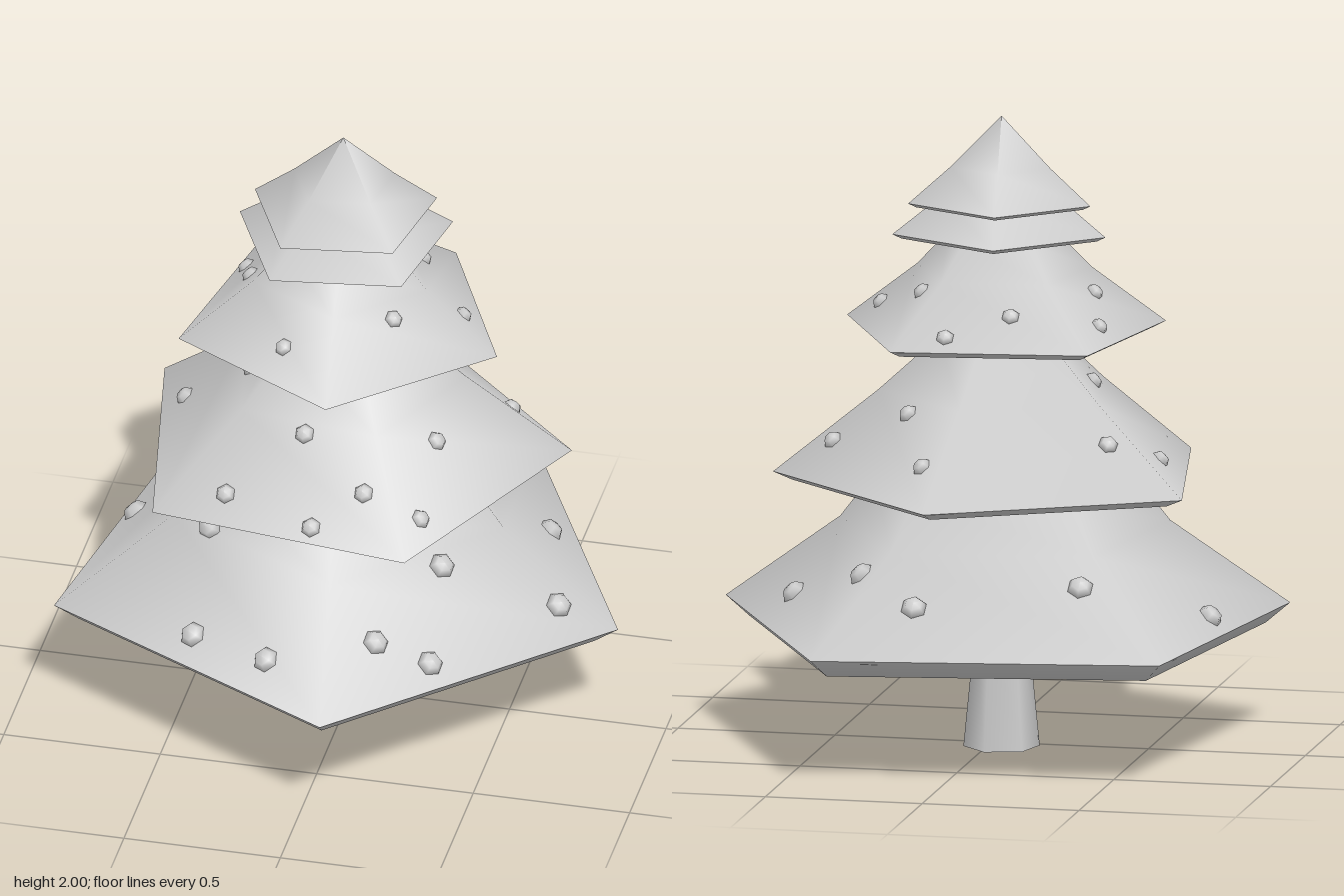
import * as THREE from 'three';

const SIDES = 5;
const CX = -0.043, CZ = -0.051; // tree axis

// Each tier: rim radius, angle of one corner (degrees, x towards z), underside height,
// and profile above the rim as [share of radius, height]
const TIERS = [
  { r: 0.926, turn: 9.5, base: 0.35, profile: [[1, 0.41], [0.585, 0.69], [0.458, 0.84], [0, 1.22]] },
  { r: 0.712, turn: -10.5, base: 0.84, profile: [[1, 0.866], [0.537, 1.13], [0.273, 1.3], [0, 1.48]] },
  { r: 0.524, turn: 11, base: 1.307, profile: [[1, 1.327], [0.545, 1.51], [0.345, 1.62], [0, 1.78]] },
  { r: 0.35, turn: -26, base: 1.625, profile: [[1, 1.64], [0.55, 1.755], [0, 1.91]] },
  { r: 0.299, turn: -26, base: 1.722, profile: [[1, 1.735], [0.55, 1.845], [0, 2]] },
];

// Ornaments per tier: size and [x, z] spots
const ORNAMENTS = [
  { size: 0.042, spots: [[-0.39, 0.53], [-0.13, 0.645], [0.365, 0.51], [0.69, 0.14], [0.2, 0.55],
    [0.34, 0.24], [-0.4, 0.25], [0.57, -0.27], [0.3, -0.52], [0.1, -0.67], [-0.4, -0.53], [-0.73, -0.15]] },
  { size: 0.032, spots: [[-0.31, 0.42], [-0.02, 0.495], [0.13, 0.415], [0.31, 0.405], [0.3, 0.14],
    [-0.09, 0.28], [-0.32, 0.02], [-0.56, -0.1], [-0.44, -0.31], [0.1, -0.555], [0.46, -0.21], [0.2, -0.3]] },
  { size: 0.029, spots: [[-0.16, 0.27], [0.16, 0.13], [0.34, -0.06], [0.17, -0.24], [0.05, -0.445],
    [-0.14, -0.36], [-0.39, -0.21], [-0.34, -0.05]] },
];

function lathe(points, sides, turn, material, name) {
  const pts = points.map(([x, y]) => new THREE.Vector2(x, y));
  const geometry = new THREE.LatheGeometry(pts, sides, THREE.MathUtils.degToRad(90 - turn));
  const mesh = new THREE.Mesh(geometry, material);
  mesh.name = name;
  return mesh;
}

// Point and outward normal on a tier's pentagonal surface above local x, z
function surfaceAt(tier, x, z) {
  const apothem = tier.r * Math.cos(Math.PI / SIDES);
  let share = -1, angle = 0;
  for (let i = 0; i < SIDES; i++) {
    const a = THREE.MathUtils.degToRad(tier.turn) + (i + 0.5) * 2 * Math.PI / SIDES;
    const s = (x * Math.cos(a) + z * Math.sin(a)) / apothem;
    if (s > share) { share = s; angle = a; }
  }
  share = Math.min(share, 0.97);
  const p = tier.profile;
  let k = 0;
  while (k < p.length - 2 && share < p[k + 1][0]) k++;
  const run = p[k][0] - p[k + 1][0], rise = p[k + 1][1] - p[k][1];
  const y = p[k][1] + rise * (p[k][0] - share) / run;
  const normal = new THREE.Vector3(Math.cos(angle) * rise, run * apothem, Math.sin(angle) * rise);
  return { point: new THREE.Vector3(x, y, z), normal: normal.normalize() };
}

export function createModel() {
  const model = new THREE.Group();
  model.name = 'pineTree';
  const material = new THREE.MeshStandardMaterial({ color: 0xcccccc });
  const tree = new THREE.Group();
  tree.name = 'tree';
  tree.position.set(CX, 0, CZ);
  model.add(tree);

  // Tapered six-sided trunk and its end
  tree.add(lathe([[0.119, 0], [0.08, 0.4]], 6, 45, material, 'trunk'));
  tree.add(lathe([[0, 0], [0.119, 0]], 6, 45, material, 'trunkEnd'));

  // Branch tiers: smooth slopes with a sharp rim over a bevelled underside
  TIERS.forEach((tier, i) => {
    const { r, turn, base, profile } = tier;
    const slope = profile.map(([s, y]) => [s * r, y]);
    tree.add(lathe(slope, SIDES, turn, material, `branchTier${i + 1}`));
    const under = [[0, base], [r * 0.915, base], [r, profile[0][1]]];
    tree.add(lathe(under, SIDES, turn, material, `branchUnderside${i + 1}`));
  });

  // Six-sided ornaments resting on the slopes
  const bead = new THREE.LatheGeometry(
    [[0, -0.6], [0.7, -0.5], [1, 0], [0.65, 0.55], [0, 0.65]].map(([x, y]) => new THREE.Vector2(x, y)), 6);
  const up = new THREE.Vector3(0, 1, 0);
  ORNAMENTS.forEach(({ size, spots }, i) => {
    const group = new THREE.Group();
    group.name = `ornamentsTier${i + 1}`;
    spots.forEach(([x, z]) => {
      const { point, normal } = surfaceAt(TIERS[i], x - CX, z - CZ);
      const ornament = new THREE.Mesh(bead, material);
      ornament.name = 'ornament';
      ornament.position.copy(point);
      ornament.quaternion.setFromUnitVectors(up, normal);
      ornament.scale.setScalar(size);
      group.add(ornament);
    });
    tree.add(group);
  });
  return model;
}
